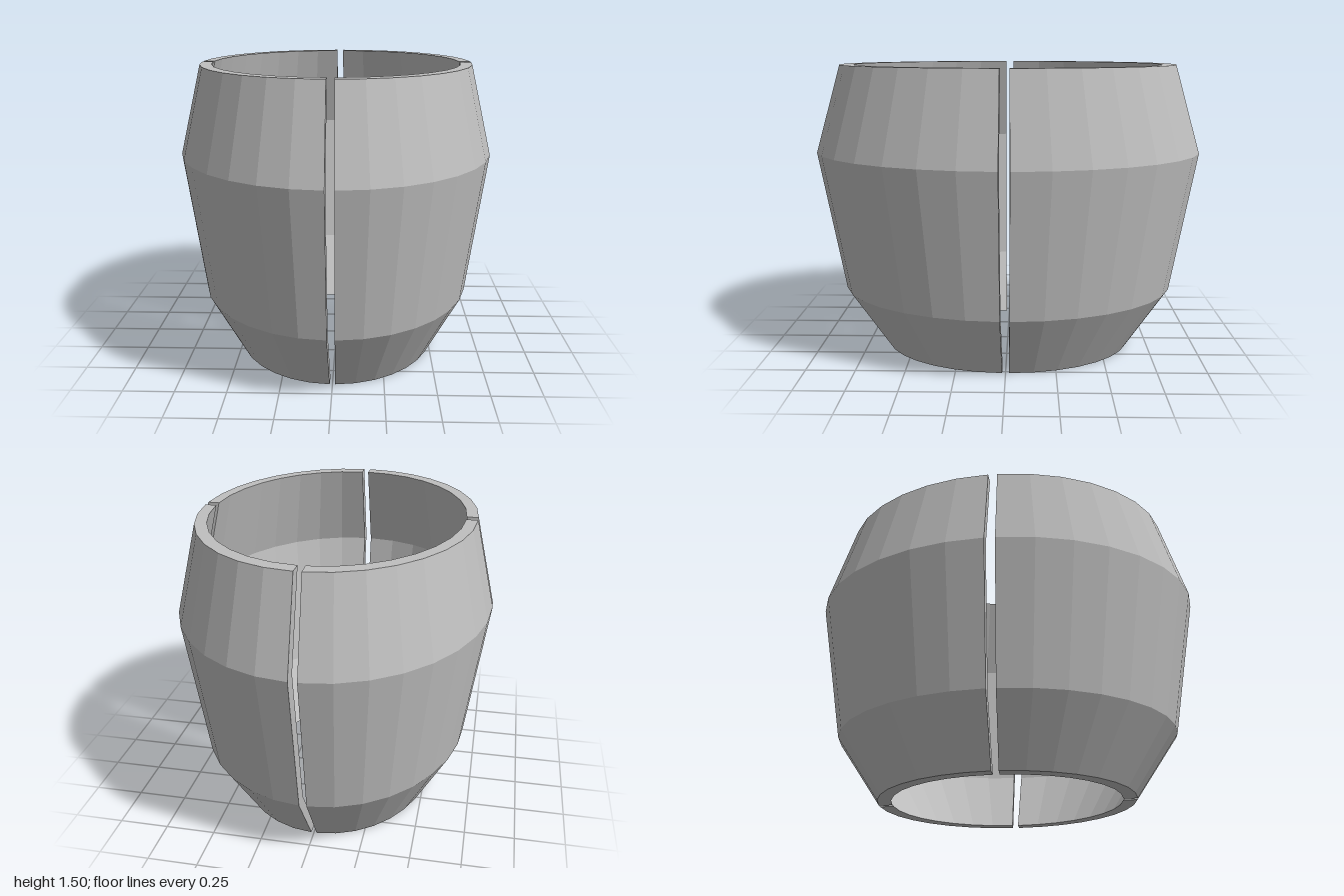
import * as THREE from 'three';
import { mergeGeometries } from 'three/addons/utils/BufferGeometryUtils.js';

const WIDTH_RATIO = 0.795; // oval: narrower in x than in z
const GAP = THREE.MathUtils.degToRad(1.5);
const SEGMENTS = 8;

// closed wall section (radius, height): up the outside, down the inside
const PROFILE = [
  [0.65, 0], [0.87, 0.325], [1.0, 1.05], [0.87, 1.495],
  [0.797, 1.495], [0.927, 1.05], [0.797, 0.325], [0.58, 0],
].map(([r, y]) => new THREE.Vector2(r, y));

// flat end face of a wall segment, standing at angle phi
function endCap(phi, flip) {
  const cap = new THREE.ShapeGeometry(new THREE.Shape(PROFILE));
  if (flip) cap.index.array.reverse();
  return cap.rotateY(phi - Math.PI / 2);
}

// one faceted quarter of the oval shell, closed at both ends
function quarterShell(start) {
  const phi = start + GAP;
  const length = Math.PI / 2 - 2 * GAP;
  const parts = [
    new THREE.LatheGeometry([...PROFILE, PROFILE[0].clone()], SEGMENTS, phi, length),
    endCap(phi, false),
    endCap(phi + length, true),
  ];
  const shell = mergeGeometries(parts.map((g) => g.toNonIndexed()));
  shell.scale(WIDTH_RATIO, 1, 1);
  shell.computeVertexNormals();
  return shell;
}

export function createModel() {
  const model = new THREE.Group();
  model.name = 'segmentedShell';
  const grey = new THREE.MeshStandardMaterial({ color: 0xbfbfbf });
  grey.name = 'grey';
  grey.flatShading = true;

  // four separate quarters around the vertical axis
  ['frontLeftShell', 'backLeftShell', 'backRightShell', 'frontRightShell'].forEach((name, i) => {
    const mesh = new THREE.Mesh(quarterShell(i * Math.PI / 2), grey);
    mesh.name = name;
    model.add(mesh);
  });
  return model;
}
